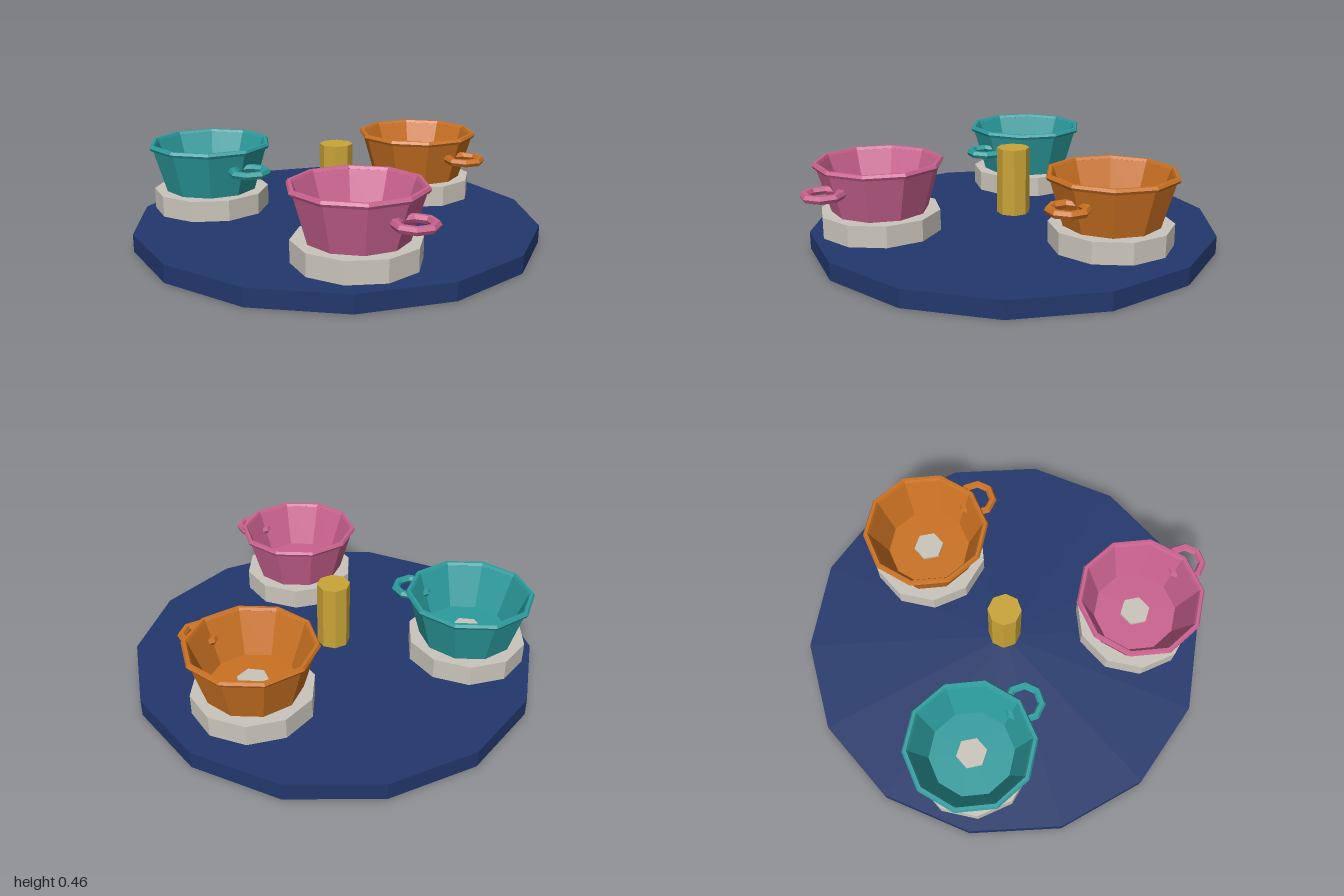
import * as THREE from 'three';

const flat = (name, color) => {
  const m = new THREE.MeshStandardMaterial({ color, flatShading: true });
  m.name = name;
  return m;
};

export function createModel() {
  const navy = flat('navy', 0x22376c);
  const stone = flat('stone', 0xcac5bb);
  const gold = flat('gold', 0xc9a437);
  const teal = flat('teal', 0x2c9c9e);
  const orange = flat('orange', 0xcb7222);
  const pink = flat('pink', 0xca628f);

  const ride = new THREE.Group();
  ride.name = 'teacupRide';

  const add = (parent, name, geometry, material) => {
    const mesh = new THREE.Mesh(geometry, material);
    mesh.name = name;
    parent.add(mesh);
    return mesh;
  };
  // upright prism between two heights
  const prism = (r, y0, y1, sides) =>
    new THREE.CylinderGeometry(r, r, y1 - y0, sides).translate(0, (y0 + y1) / 2, 0);
  // ring lying flat
  const ring = (r, tube, radial, sides) =>
    new THREE.TorusGeometry(r, tube, radial, sides).rotateX(-Math.PI / 2);

  add(ride, 'platform', prism(1, 0, 0.085, 14), navy);
  add(ride, 'centrePost', prism(0.081, 0.13, 0.46, 8), gold);

  // cup wall: outside, lip, inside and floor
  const profile = [[0, 0.198], [0.23, 0.198], [0.297, 0.43], [0.282, 0.43], [0.206, 0.225], [0, 0.225]]
    .map(([x, y]) => new THREE.Vector2(x, y));

  const addCup = (name, x, z, material) => {
    const cup = new THREE.Group();
    cup.name = name;
    cup.position.set(x, 0, z);
    add(cup, 'turntable', prism(0.29, 0.097, 0.2, 10), stone);
    add(cup, 'spindle', prism(0.075, 0.05, 0.24, 6), stone);
    add(cup, 'bowl', new THREE.LatheGeometry(profile, 10).rotateY(Math.PI / 10), material);
    add(cup, 'rim', ring(0.296, 0.015, 6, 10), material).position.y = 0.428;
    add(cup, 'handle', ring(0.084, 0.02, 6, 8), material).position.set(0.33, 0.339, 0);
    ride.add(cup);
  };
  addCup('tealCup', -0.542, 0.375, teal);
  addCup('pinkCup', 0.542, 0.375, pink);
  addCup('orangeCup', 0, -0.588, orange);

  return ride;
}
